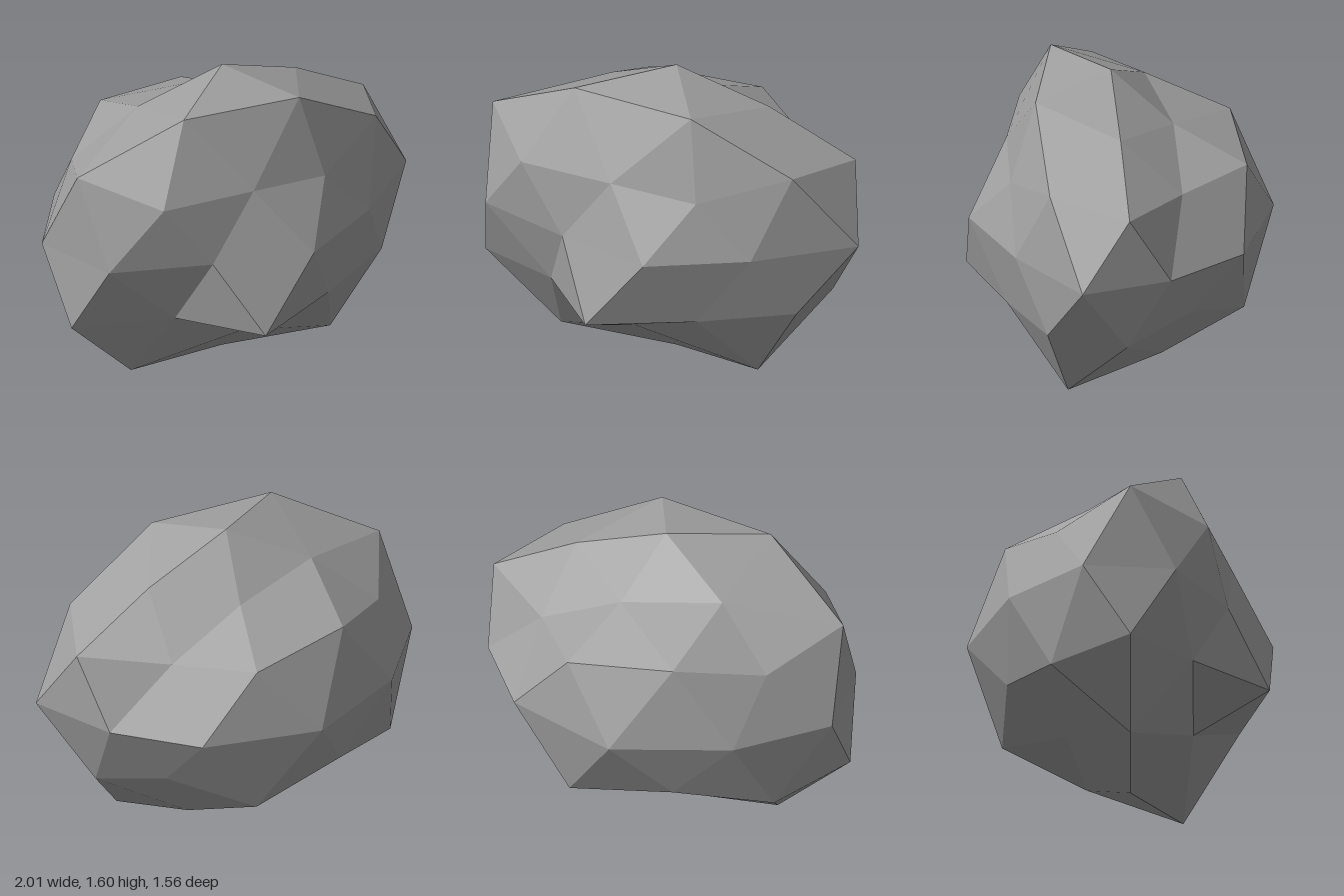
import * as THREE from 'three';

// Each ring runs around the rock: radius factor per corner, from a sphere cut into 80 triangles.
const CENTRE = new THREE.Vector3(-0.01, 0.82, 0.05);
const SCALE = new THREE.Vector3(1, 0.775, 0.755);
const CAP = [0.525731, 0.850651];   // [horizontal, vertical] directions of the rings
const WIDE = [0.894427, 0.447214];
const MID = [0.850651, 0.525731];
const FLAT = [1, 0];

function corner(angle, [across, up], radius) {
  const a = THREE.MathUtils.degToRad(angle);
  return new THREE.Vector3(across * Math.cos(a), up, across * Math.sin(a))
    .multiply(SCALE).multiplyScalar(radius).add(CENTRE);
}

const ring = (radii, start, even, odd = even) => radii.map((r, i) =>
  corner(start + (i * 360) / radii.length, i % 2 ? odd : even, r));
const down = ([across, up]) => [across, -up];

function rockGeometry() {
  const top = corner(0, [0, 1], 1.02);
  const upperCap = ring([0.925, 1.065, 1.107, 0.9, 0.81], 0, CAP);
  const upper = ring([1.045, 1.015, 0.835, 0.835, 0.99, 1.128, 0.945, 1.04, 1.035, 0.815], 0, WIDE, MID);
  const girdle = ring([1.063, 0.885, 0.96, 0.81, 0.99, 1.041, 1.01, 1.1, 1.01, 0.93], 18, FLAT);
  const lower = ring([0.96, 1, 0.91, 1.1, 0.84, 1.115, 1.07, 0.975, 1.065, 0.86], 0, down(MID), down(WIDE));
  const lowerCap = ring([1.152, 0.845, 1.148, 0.86, 0.935], 36, down(CAP));
  const bottom = corner(0, [0, -1], 1.05);

  const points = [];
  const tri = (...p) => points.push(...p);
  const at = (list, i) => list[(i + list.length) % list.length];

  // Top and bottom caps
  for (let i = 0; i < 5; i++) {
    const a = upperCap[i], b = at(upperCap, i + 1), m = upper[2 * i + 1];
    tri(top, b, a);
    tri(m, a, b);
    tri(a, m, upper[2 * i]);
    tri(b, at(upper, 2 * i + 2), m);

    const c = lowerCap[i], d = at(lowerCap, i + 1), n = at(lower, 2 * i + 2);
    tri(bottom, c, d);
    tri(n, d, c);
    tri(c, lower[2 * i + 1], n);
    tri(d, n, at(lower, 2 * i + 3));
  }
  // Two zigzag bands above and below the girdle
  for (let j = 0; j < 10; j++) {
    tri(upper[j], girdle[j], at(girdle, j - 1));
    tri(girdle[j], upper[j], at(upper, j + 1));
    tri(lower[j], at(girdle, j - 1), girdle[j]);
    tri(girdle[j], at(lower, j + 1), lower[j]);
  }
  const geometry = new THREE.BufferGeometry().setFromPoints(points);
  geometry.computeVertexNormals();
  return geometry;
}

export function createModel() {
  const stone = new THREE.MeshStandardMaterial({ color: 0xa0a0a0 });
  stone.name = 'stone grey';
  stone.flatShading = true;

  const rock = new THREE.Mesh(rockGeometry(), stone);
  rock.name = 'rock';

  const model = new THREE.Group();
  model.name = 'boulder';
  model.add(rock);
  return model;
}
